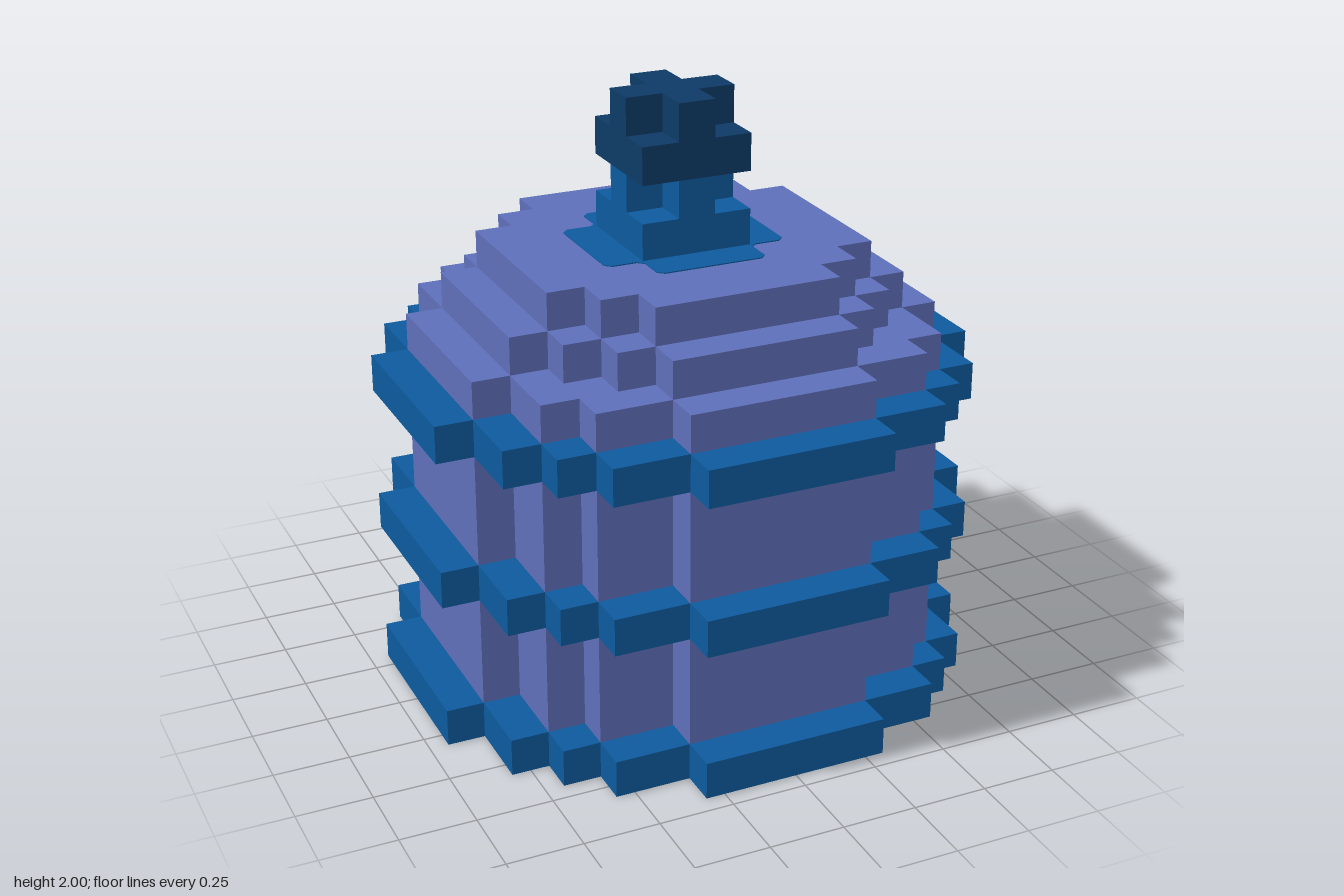
import * as THREE from 'three';

const U = 0.125; // one block

const material = (name, color) => {
  const m = new THREE.MeshStandardMaterial({ color });
  m.name = name;
  return m;
};

// Full outline, mirrored from one quadrant listed from the +x side round to the +y side
function symmetricShape(quadrant) {
  const flip = (sx, sy, list) => list.map(([x, y]) => new THREE.Vector2(x * sx * U, y * sy * U));
  const reversed = [...quadrant].reverse();
  return new THREE.Shape([
    ...flip(1, 1, quadrant),
    ...flip(-1, 1, reversed),
    ...flip(-1, -1, quadrant),
    ...flip(1, -1, reversed),
  ]);
}

// Stepped quadrant from [halfWidth, reach] rows, widest row first
function steps(rows) {
  const points = [];
  rows.forEach(([w, reach], i) => {
    points.push([w, i ? rows[i - 1][1] : reach]);
    if (i) points.push([w, reach]);
  });
  return points;
}

export function createModel() {
  const group = new THREE.Group();
  group.name = 'steppedJar';

  const blue = material('blue', 0x0d5a9c);
  const violet = material('violet', 0x5e6fb9);
  const navy = material('navy', 0x0d3a66);

  // Blocky circles of different diameters
  const ring = steps([[7.5, 2.5], [6.5, 4.5], [5.5, 5.5], [4.5, 6.5], [2.5, 7.5]]);
  const wall = steps([[6.5, 2.5], [5.5, 4.5], [4.5, 5.5], [2.5, 6.5]]);
  const lowerStep = steps([[5.5, 2.5], [4.5, 3.5], [3.5, 4.5], [2.5, 5.5]]);
  const upperStep = steps([[4.5, 2.5], [3.5, 3.5], [2.5, 4.5]]);
  const square = [[1.5, 1.5]];
  const cross = steps([[1.5, 0.5], [0.5, 1.5]]);

  // Cross patch with clipped corners
  const c = 0.16;
  const patch = [
    [2.5, 1.5 - c], [2.5 - c, 1.5], [1.5 + c, 1.5],
    [1.5, 1.5 + c], [1.5, 2.5 - c], [1.5 - c, 2.5],
  ];

  // Layers, bottom and top given in blocks
  const layers = [
    ['bottomRing', ring, 0, 1, blue],
    ['lowerWall', wall, 1, 4, violet],
    ['middleRing', ring, 4, 5, blue],
    ['upperWall', wall, 5, 8, violet],
    ['topRing', ring, 8, 9, blue],
    ['shoulder', wall, 9, 10, violet],
    ['lowerLidStep', lowerStep, 10, 11, violet],
    ['upperLidStep', upperStep, 11, 12, violet],
    ['lidPatch', patch, 12, 12.03, blue],
    ['knobBase', square, 12, 13, blue],
    ['knobNeck', cross, 13, 14, blue],
    ['knobHead', square, 14, 15, navy],
    ['knobTip', cross, 15, 16, navy],
  ];

  for (const [name, quadrant, y0, y1, mat] of layers) {
    const geometry = new THREE.ExtrudeGeometry(symmetricShape(quadrant), {
      depth: (y1 - y0) * U,
      bevelEnabled: false,
    });
    geometry.rotateX(-Math.PI / 2);
    const mesh = new THREE.Mesh(geometry, mat);
    mesh.name = name;
    mesh.position.y = y0 * U;
    group.add(mesh);
  }
  return group;
}
